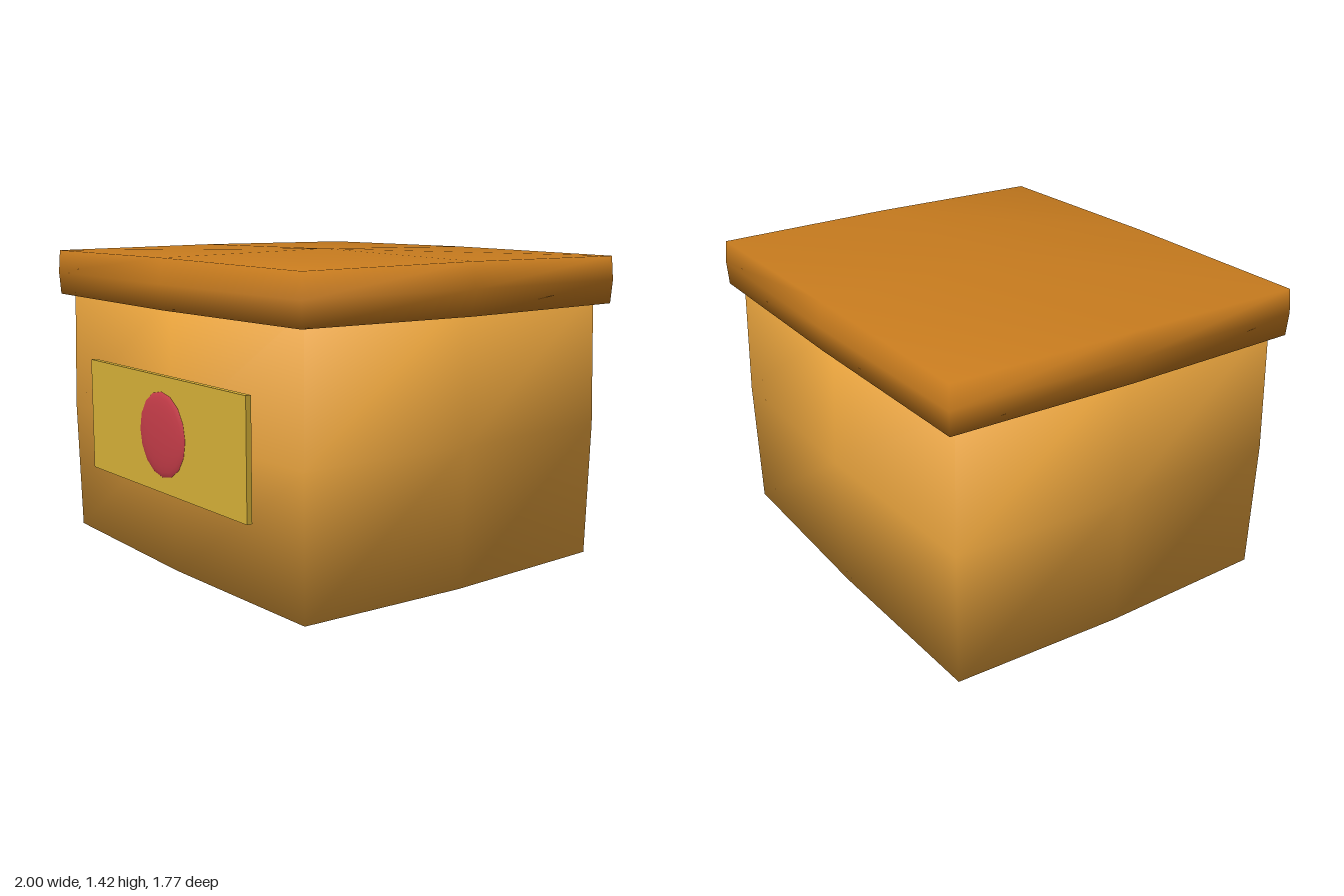
import * as THREE from 'three';
import { mergeVertices } from 'three/addons/utils/BufferGeometryUtils.js';

const material = (color) => new THREE.MeshStandardMaterial({ color });

// Box whose face centres swell outward fully, edge midpoints a little, corners not at all;
// welded so the normals run smoothly round the corners.
function puffedBox(width, height, depth, bulge) {
  const box = new THREE.BoxGeometry(width, height, depth, 2, 2, 2);
  box.deleteAttribute('normal');
  box.deleteAttribute('uv');
  const geometry = mergeVertices(box);
  const position = geometry.attributes.position;
  const swell = [0, bulge, bulge * 0.3, 0];
  const p = new THREE.Vector3();
  for (let i = 0; i < position.count; i++) {
    p.fromBufferAttribute(position, i);
    const signs = p.toArray().map((v) => (Math.abs(v) < 1e-5 ? 0 : Math.sign(v)));
    const amount = swell[signs.filter((s) => s !== 0).length];
    position.setXYZ(i, p.x + signs[0] * amount, p.y + signs[1] * amount, p.z + signs[2] * amount);
  }
  geometry.computeVertexNormals();
  return geometry;
}

export function createModel() {
  const model = new THREE.Group();
  model.name = 'box';

  function add(name, geometry, color, y, z) {
    const mesh = new THREE.Mesh(geometry, material(color));
    mesh.name = name;
    mesh.position.set(0, y, z);
    model.add(mesh);
    return mesh;
  }

  // Swollen body and overhanging lid
  add('body', puffedBox(1.855, 1.21, 1.605, 0.037), 0xe8a33d, 0.645, -0.01);
  add('lid', puffedBox(1.96, 0.21, 1.71, 0.02), 0xc77b1e, 1.295, -0.012);

  // Label plate standing just off the front
  add('label', new THREE.BoxGeometry(1.29, 0.515, 0.025), 0xd4af37, 0.648, 0.851);

  // Flattened round seal on the label
  const seal = add('seal', new THREE.SphereGeometry(0.192, 16, 12), 0xc43c48, 0.648, 0.86);
  seal.rotation.x = Math.PI / 2;
  seal.scale.y = 0.13;

  return model;
}
